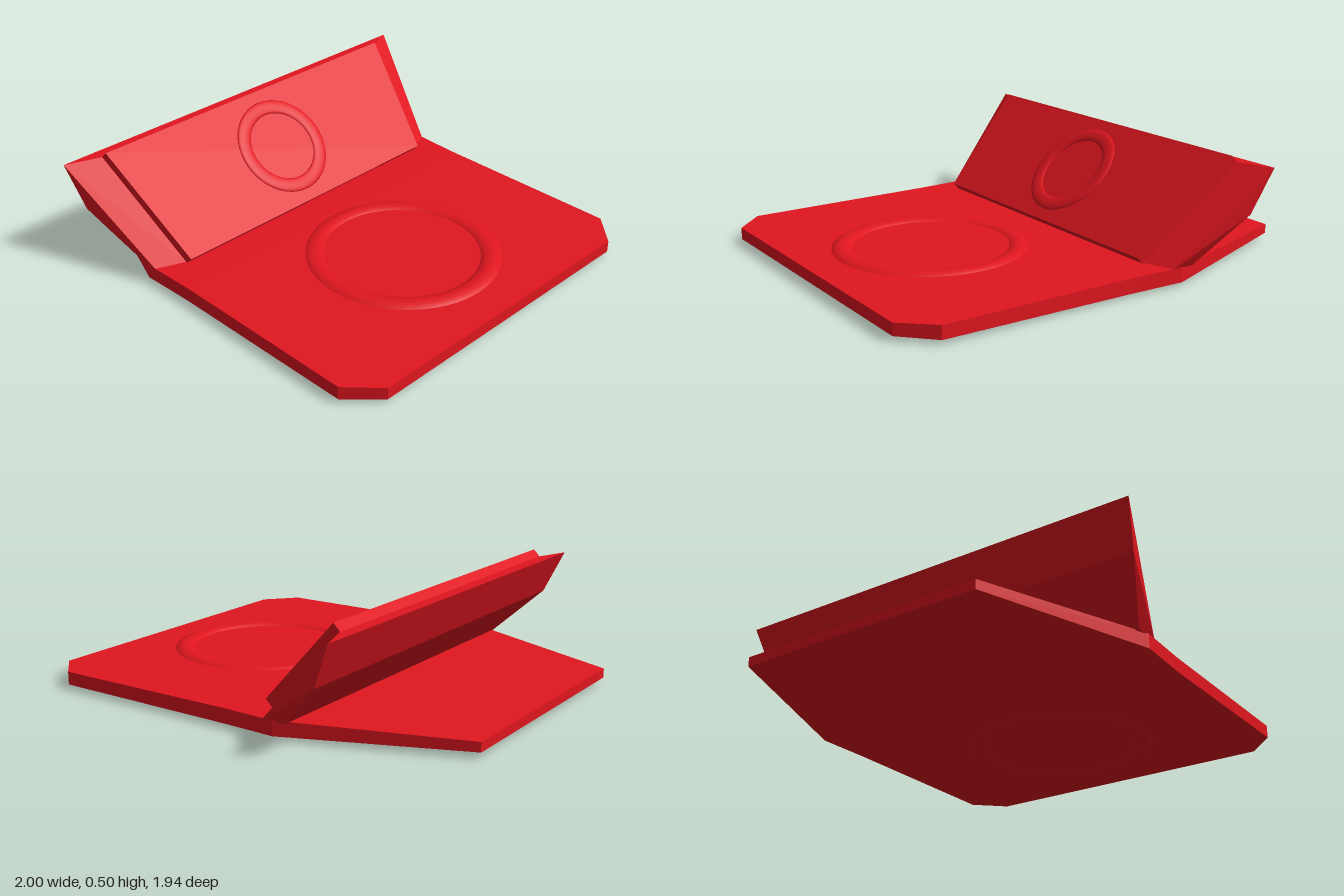
import * as THREE from 'three';
import { ConvexGeometry } from 'three/addons/geometries/ConvexGeometry.js';

const material = new THREE.MeshStandardMaterial({ color: 0xe0161f });

function part(name, geometry) {
  const mesh = new THREE.Mesh(geometry, material);
  mesh.name = name;
  return mesh;
}

// Convex solid from [x, y, halfWidth] corners mirrored across z
function mirroredHull(corners) {
  const points = corners.flatMap(([x, y, z]) => [
    new THREE.Vector3(x, y, z), new THREE.Vector3(x, y, -z),
  ]);
  return new ConvexGeometry(points);
}

// Flat-faced solid lofted along x from rectangular sections [x, halfWidth, bottom, top]
function loftBoard(sections) {
  const loops = sections.map(([x, w, b, t]) => [[x, b, -w], [x, b, w], [x, t, w], [x, t, -w]]);
  const pos = [];
  const quad = (a, b, c, d) => pos.push(...a, ...b, ...c, ...a, ...c, ...d);
  for (let i = 0; i < loops.length - 1; i++) {
    for (let j = 0; j < 4; j++) {
      const k = (j + 1) % 4;
      quad(loops[i][j], loops[i + 1][j], loops[i + 1][k], loops[i][k]);
    }
  }
  const first = loops[0], last = loops[loops.length - 1];
  quad(first[0], first[1], first[2], first[3]);
  quad(last[3], last[2], last[1], last[0]);
  const geometry = new THREE.BufferGeometry();
  geometry.setAttribute('position', new THREE.Float32BufferAttribute(pos, 3));
  geometry.computeVertexNormals();
  return geometry;
}

// Flattened ring lying in the xz plane
function flatRing(radius, tube, halfHeight) {
  return new THREE.TorusGeometry(radius, tube, 16, 64)
    .rotateX(Math.PI / 2)
    .scale(1, halfHeight / tube, 1);
}

export function createModel() {
  const model = new THREE.Group();
  model.name = 'boardWithUprightPanel';

  // Base board with tapered tail and clipped front corners
  model.add(part('baseBoard', loftBoard([
    [-1, 0.56, 0.025, 0.066],
    [-0.25, 0.838, 0.016, 0.08],
    [0, 0.828, 0.015, 0.079],
    [0.87, 0.828, 0.018, 0.075],
    [1, 0.70, 0.02, 0.072],
  ])));

  // Raised ring, showing on both faces of the board
  const baseRing = part('baseRing', flatRing(0.377, 0.06, 0.045));
  baseRing.position.set(0.43, 0.045, 0);
  model.add(baseRing);

  // Leaning panel with swept-back side wings and a bevelled rear
  model.add(part('leaningPanel', mirroredHull([
    [-0.605, 0.47, 0.97],
    [-0.2, 0.075, 0.835],
    [-0.52, 0.28, 0.935],
    [-0.31, 0.075, 0.83],
    [-0.55, 0.47, 0.82],
    [-0.15, 0.075, 0.71],
  ])));

  // Face plate standing proud of the panel
  model.add(part('facePlate', mirroredHull([
    [-0.52, 0.5, 0.815],
    [-0.12, 0.108, 0.71],
    [-0.56, 0.46, 0.815],
    [-0.16, 0.068, 0.71],
  ])));

  // Small ring on the face plate
  const plateRing = part('plateRing', flatRing(0.194, 0.033, 0.009));
  plateRing.position.set(-0.32, 0.304, 0);
  plateRing.rotation.z = -Math.atan2(0.392, 0.4);
  model.add(plateRing);

  return model;
}
